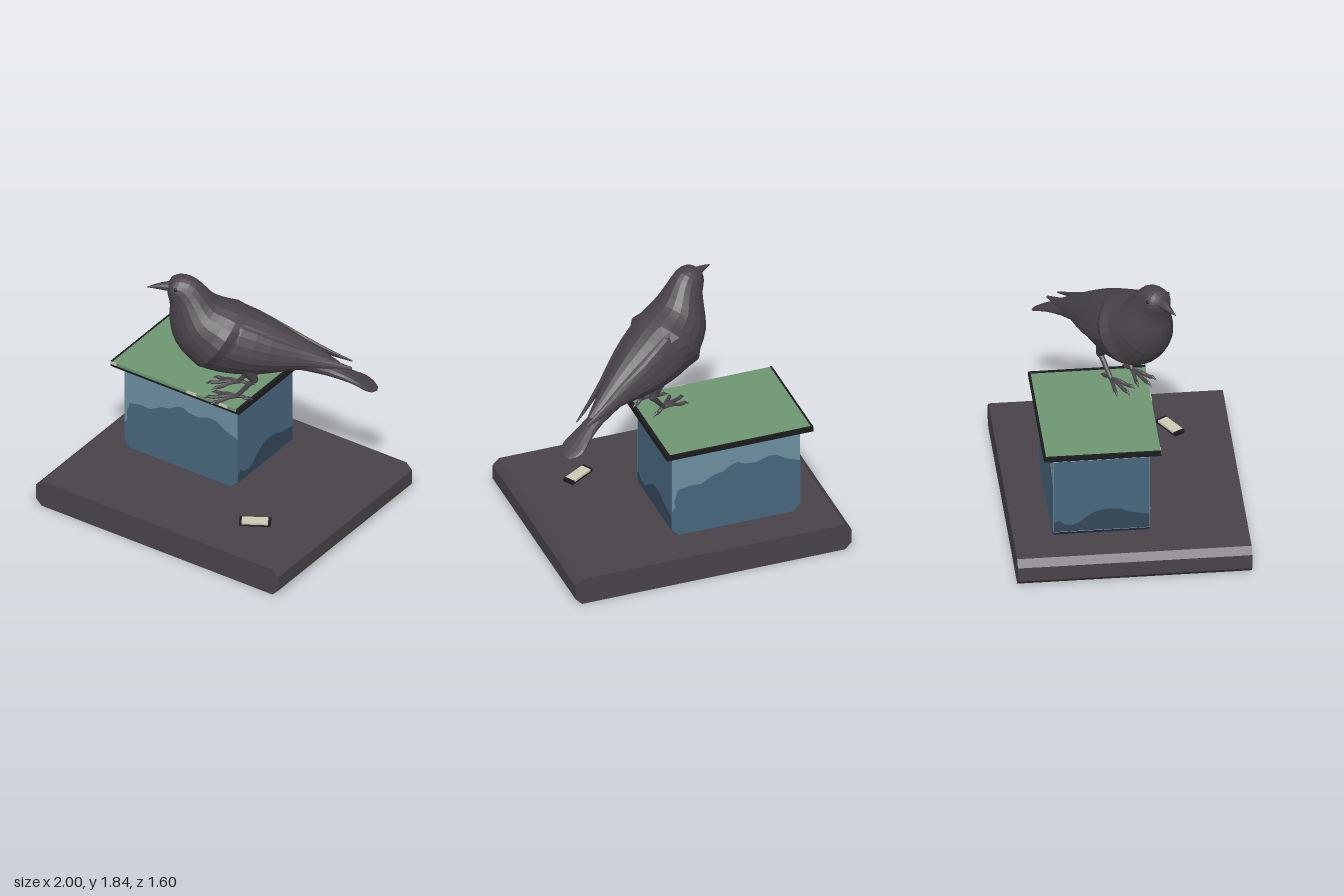
import * as THREE from 'three';

const V = (x, y, z = 0) => new THREE.Vector3(x, y, z);
const mat = (name, color, extra = {}) =>
  Object.assign(new THREE.MeshStandardMaterial({ color, ...extra }), { name });

function add(parent, name, geo, material, x = 0, y = 0, z = 0) {
  const m = new THREE.Mesh(geo, material);
  m.name = name;
  m.position.set(x, y, z);
  parent.add(m);
  return m;
}

// Flat polygon pushed out along +z
function plate(points, depth) {
  const shape = new THREE.Shape(points.map(([x, y]) => new THREE.Vector2(x, y)));
  return new THREE.ExtrudeGeometry(shape, { depth, bevelEnabled: false });
}

// Outline of a rectangle with cut corners
const octagon = (w, y0, y1, c) => [
  [-w + c, y0], [w - c, y0], [w, y0 + c], [w, y1 - c],
  [w - c, y1], [-w + c, y1], [-w, y1 - c], [-w, y0 + c]];

// Skin over elliptical rings: [top point, bottom point, half thickness]
function loft(rings, steps = 2, seg = 18) {
  const curve = k => new THREE.CatmullRomCurve3(rings.map(r => r[k]));
  const top = curve(0), bottom = curve(1);
  const thick = new THREE.CatmullRomCurve3(rings.map(r => V(r[2], 0)));
  const n = (rings.length - 1) * steps, pos = [], idx = [];
  const centres = [];
  for (let i = 0; i <= n; i++) {
    const t = top.getPoint(i / n), b = bottom.getPoint(i / n);
    const c = t.clone().add(b).multiplyScalar(0.5);
    const half = t.clone().sub(b).multiplyScalar(0.5);
    const side = V(1, 0).cross(half).normalize().multiplyScalar(Math.max(thick.getPoint(i / n).x, 0.001));
    centres.push(c);
    for (let j = 0; j < seg; j++) {
      const a = j / seg * Math.PI * 2;
      const p = c.clone().addScaledVector(half, Math.cos(a)).addScaledVector(side, Math.sin(a));
      pos.push(p.x, p.y, p.z);
    }
  }
  const first = (n + 1) * seg, last = first + 1;
  pos.push(...centres[0].toArray(), ...centres[n].toArray());
  for (let j = 0; j < seg; j++) {
    const k = (j + 1) % seg;
    for (let i = 0; i < n; i++) {
      const a = i * seg + j, b = i * seg + k;
      idx.push(a, b, a + seg, b, b + seg, a + seg);
    }
    idx.push(first, k, j, last, n * seg + j, n * seg + k);
  }
  const g = new THREE.BufferGeometry();
  g.setAttribute('position', new THREE.Float32BufferAttribute(pos, 3));
  g.setIndex(idx);
  g.computeVertexNormals();
  return g;
}

// Tapered rod from a to b
function rod(parent, name, a, b, r0, r1, material) {
  const d = b.clone().sub(a), mid = a.clone().add(b).multiplyScalar(0.5);
  const m = add(parent, name, new THREE.CylinderGeometry(r1, r0, d.length(), 8), material, mid.x, mid.y, mid.z);
  m.quaternion.setFromUnitVectors(V(0, 1), d.normalize());
}

function makeBird(charcoal, black) {
  const bird = new THREE.Group();
  bird.name = 'bird';
  const flat = (s0, y0, s1, y1, w) => [V(s0, y0), V(s1, y1), w];

  // Head and body in one skin, beak end first
  add(bird, 'body', loft([
    flat(0.13, 1.785, 0.125, 1.73, 0.03), flat(0.16, 1.825, 0.125, 1.70, 0.072),
    flat(0.215, 1.842, 0.135, 1.66, 0.096), flat(0.29, 1.83, 0.14, 1.60, 0.107),
    flat(0.36, 1.775, 0.135, 1.53, 0.13), flat(0.42, 1.70, 0.145, 1.44, 0.17),
    flat(0.47, 1.655, 0.175, 1.34, 0.205), flat(0.56, 1.625, 0.26, 1.22, 0.23),
    flat(0.68, 1.58, 0.38, 1.14, 0.23), flat(0.82, 1.51, 0.54, 1.10, 0.20),
    flat(0.95, 1.43, 0.72, 1.09, 0.155), flat(1.07, 1.345, 0.88, 1.11, 0.11),
    flat(1.19, 1.26, 1.02, 1.13, 0.075), flat(1.30, 1.18, 1.14, 1.10, 0.045)], 2, 22), charcoal);

  add(bird, 'beak', loft([
    flat(0.16, 1.795, 0.16, 1.72, 0.042), flat(0.08, 1.78, 0.08, 1.73, 0.026),
    flat(0.02, 1.76, 0.02, 1.738, 0.012), flat(-0.015, 1.746, -0.015, 1.74, 0.003),
  ].reverse(), 2, 10), charcoal);

  add(bird, 'tail', loft([
    flat(1.0, 1.28, 0.95, 1.14, 0.08), flat(1.25, 1.165, 1.2, 1.09, 0.06),
    flat(1.4, 1.09, 1.37, 1.045, 0.075), flat(1.48, 1.04, 1.46, 1.01, 0.092),
    flat(1.53, 1.005, 1.51, 0.988, 0.072), flat(1.555, 0.985, 1.545, 0.98, 0.03)], 2, 14), charcoal);

  for (const s of [1, -1]) {
    const side = s > 0 ? 'right' : 'left';
    const w = (a, b, t) => [V(a[0], a[1], a[2] * s), V(b[0], b[1], b[2] * s), t];
    // Folded wing lying along the flank
    add(bird, side === 'left' ? 'farWing' : 'nearWing', loft([
      w([0.40, 1.55, 0.16], [0.36, 1.50, 0.165], 0.015),
      w([0.50, 1.57, 0.13], [0.42, 1.40, 0.205], 0.032),
      w([0.65, 1.54, 0.135], [0.58, 1.30, 0.22], 0.034),
      w([0.85, 1.44, 0.12], [0.80, 1.25, 0.19], 0.028),
      w([1.05, 1.335, 0.08], [1.03, 1.22, 0.125], 0.022),
      w([1.25, 1.235, 0.05], [1.24, 1.185, 0.08], 0.014),
      w([1.38, 1.175, 0.04], [1.38, 1.162, 0.05], 0.005)], 2, 12), charcoal);
    add(bird, 'eye', new THREE.SphereGeometry(0.014, 10, 8), black, 0.185, 1.78, s * 0.083);

    // Leg: feathered thigh, thin shank, four toes with claws
    const knee = V(0.72, 1.08, s * 0.09), ankle = V(0.6, 0.94, s * 0.09);
    rod(bird, 'thigh', V(0.66, 1.20, s * 0.085), knee, 0.075, 0.028, charcoal);
    add(bird, 'knee', new THREE.SphereGeometry(0.028, 8, 6), charcoal, knee.x, knee.y, knee.z);
    rod(bird, 'shank', knee, ankle, 0.02, 0.016, charcoal);
    for (const [angle, len] of [[0, 0.19], [0.42, 0.16], [-0.42, 0.16], [Math.PI, 0.08]]) {
      const at = (d, y) => V(0.6 - Math.cos(angle) * d, y, s * 0.09 + Math.sin(angle) * d);
      const path = new THREE.CatmullRomCurve3(
        [at(0, 0.937), at(len * 0.4, 0.94), at(len * 0.75, 0.925), at(len, 0.926)]);
      add(bird, 'toe', new THREE.TubeGeometry(path, 6, 0.013, 7), charcoal);
      rod(bird, 'claw', at(len - 0.005, 0.93), at(len + 0.035, 0.912), 0.012, 0.001, charcoal);
    }
  }
  bird.position.set(-0.387, 0, 0.331);
  bird.rotation.y = THREE.MathUtils.degToRad(31);
  return bird;
}

export function createModel() {
  const model = new THREE.Group();
  model.name = 'birdOnBox';
  const charcoal = mat('charcoal', 0x484349, { flatShading: true });
  const black = mat('black', 0x1c1c1f);
  const green = mat('green', 0x6d9671);
  const pale = mat('paleBlue', 0x6d8fa1);
  const blue = mat('blue', 0x47677d);
  const navy = mat('navy', 0x35485a);
  const cream = mat('cream', 0xcbcab2);

  // Ground slab with bevelled left and right edges
  add(model, 'slab', plate(octagon(1, 0, 0.2, 0.046), 1.6), charcoal, 0, 0, -0.8);

  // Box: dark core with coloured panels
  const box = new THREE.Group();
  box.name = 'box';
  box.position.set(-0.265, 0, -0.2);
  model.add(box);
  add(box, 'boxCore', plate(octagon(0.462, 0.2, 0.87, 0.05), 0.648), charcoal, 0, 0, -0.324);
  const longWave = [[0.465, 0.61], [0.36, 0.65], [0.295, 0.695], [0.235, 0.70], [0.145, 0.67],
    [0.065, 0.675], [0.015, 0.70], [-0.035, 0.69], [-0.095, 0.65], [-0.155, 0.64], [-0.255, 0.585],
    [-0.335, 0.59], [-0.425, 0.57], [-0.435, 0.52], [-0.45, 0.49], [-0.44, 0.44], [-0.465, 0.40]];
  const shortWave = [[0.325, 0.36], [0.25, 0.375], [0.18, 0.39], [0.13, 0.415], [0.05, 0.422],
    [-0.03, 0.41], [-0.1, 0.37], [-0.16, 0.32], [-0.2, 0.303], [-0.25, 0.31], [-0.29, 0.343], [-0.325, 0.33]];
  for (const turn of [0, Math.PI]) {
    const half = new THREE.Group();
    half.name = turn ? 'backAndRightPanels' : 'frontAndLeftPanels';
    half.rotation.y = turn;
    box.add(half);
    add(half, 'longPanel', plate(octagon(0.465, 0.207, 0.87, 0.052), 0.006), pale, 0, 0, 0.324);
    add(half, 'longWave', plate([[-0.465, 0.26], [-0.413, 0.208], [0.413, 0.208], [0.465, 0.26], ...longWave], 0.002),
      blue, 0, 0, 0.33);
    const end = new THREE.Group();
    end.name = 'endPanels';
    end.rotation.y = Math.PI / 2;
    half.add(end);
    add(end, 'endPanel', plate([[-0.325, 0.255], [0.325, 0.255], [0.325, 0.82], [-0.325, 0.82]], 0.004), blue, 0, 0, 0.462);
    add(end, 'endWave', plate([[-0.325, 0.255], [0.325, 0.255], ...shortWave], 0.002), navy, 0, 0, 0.466);
    const strip = new THREE.BoxGeometry(0.65, 0.071, 0.006);
    add(end, 'upperBevel', strip, pale, 0, 0.845, 0.437).rotation.x = -Math.PI / 4;
    add(end, 'lowerBevel', strip, navy, 0, 0.228, 0.44).rotation.x = Math.PI / 4;
  }

  // Lid: green board in a dark rim
  const bar = (name, x0, x1, y0, y1, z0, z1, m) => add(model, name,
    new THREE.BoxGeometry(x1 - x0, y1 - y0, z1 - z0), m, (x0 + x1) / 2, (y0 + y1) / 2, (z0 + z1) / 2);
  bar('lid', -0.788, 0.238, 0.872, 0.908, -0.588, 0.198, green);
  bar('lidRimRight', -0.8, -0.786, 0.872, 0.91, -0.6, 0.2, black);
  bar('lidRimLeft', 0.236, 0.262, 0.872, 0.91, -0.6, 0.2, black);
  bar('lidRimBack', -0.788, 0.24, 0.872, 0.91, -0.6, -0.586, black);
  bar('lidRimFront', -0.788, 0.24, 0.87, 0.885, 0.194, 0.2, black);
  for (const [x, w] of [[-0.775, 0.05], [-0.13, 0.08], [0.13, 0.07]])
    bar('wornPatch', x - w / 2, x + w / 2, 0.887, 0.909, 0.196, 0.201, cream);

  // Small block lying on the slab
  const block = new THREE.Group();
  block.name = 'smallBlock';
  block.position.set(0.532, 0.2, 0.398);
  block.rotation.y = THREE.MathUtils.degToRad(31);
  model.add(block);
  add(block, 'blockTop', new THREE.BoxGeometry(0.19, 0.019, 0.076), cream, 0, 0.018, 0);
  add(block, 'blockBase', new THREE.BoxGeometry(0.2, 0.012, 0.078), black, 0, 0.006, 0);
  for (const s of [-1, 1])
    add(block, 'blockEnd', new THREE.BoxGeometry(0.018, 0.028, 0.08), black, s * 0.099, 0.014, 0);

  model.add(makeBird(charcoal, black));
  return model;
}
